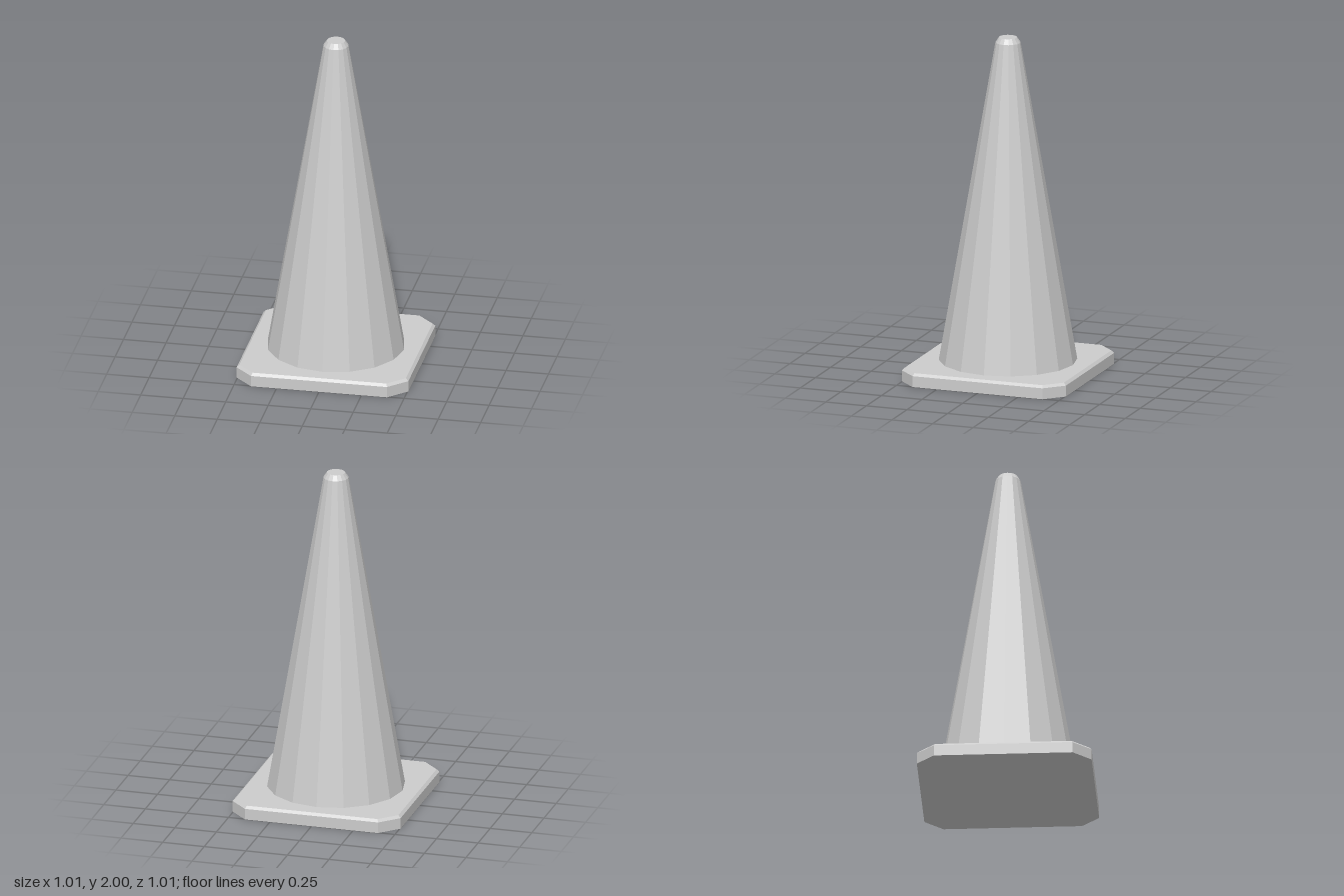
import * as THREE from 'three';

// Octagon corners (square with cut corners), ordered from +x towards +z
function ring(half, cut, y) {
  return [
    [half, -cut], [half, cut], [cut, half], [-cut, half],
    [-half, cut], [-half, -cut], [-cut, -half], [cut, -half],
  ].map(([x, z]) => [x, y, z]);
}

// Closed solid through stacked rings, bottom to top
function loftRings(rings) {
  const pos = [];
  const tri = (...corners) => corners.forEach((p) => pos.push(...p));
  const n = rings[0].length;
  const bottom = rings[0], top = rings[rings.length - 1];
  for (let i = 0; i < n; i++) {
    const j = (i + 1) % n;
    for (let r = 0; r < rings.length - 1; r++) {
      const lo = rings[r], hi = rings[r + 1];
      tri(lo[i], hi[i], lo[j]);
      tri(hi[i], hi[j], lo[j]);
    }
    tri([0, bottom[0][1], 0], bottom[i], bottom[j]);
    tri([0, top[0][1], 0], top[j], top[i]);
  }
  const geometry = new THREE.BufferGeometry();
  geometry.setAttribute('position', new THREE.Float32BufferAttribute(pos, 3));
  geometry.computeVertexNormals();
  return geometry;
}

export function createModel() {
  const group = new THREE.Group();
  group.name = 'trafficCone';

  const grey = new THREE.MeshStandardMaterial({ color: 0xcccccc, flatShading: true });
  grey.name = 'light grey';

  // Base plate with cut corners and a bevelled upper edge
  const base = new THREE.Mesh(
    loftRings([ring(0.505, 0.4, 0), ring(0.505, 0.4, 0.065), ring(0.49, 0.393, 0.08)]),
    grey
  );
  base.name = 'basePlate';
  group.add(base);

  // Sixteen-sided cone with a bevelled flat tip
  const profile = [[0.4, 0.08], [0.073, 1.97], [0.053, 2], [0, 2]]
    .map(([x, y]) => new THREE.Vector2(x, y));
  const cone = new THREE.Mesh(new THREE.LatheGeometry(profile, 16), grey);
  cone.name = 'coneBody';
  group.add(cone);

  return group;
}
